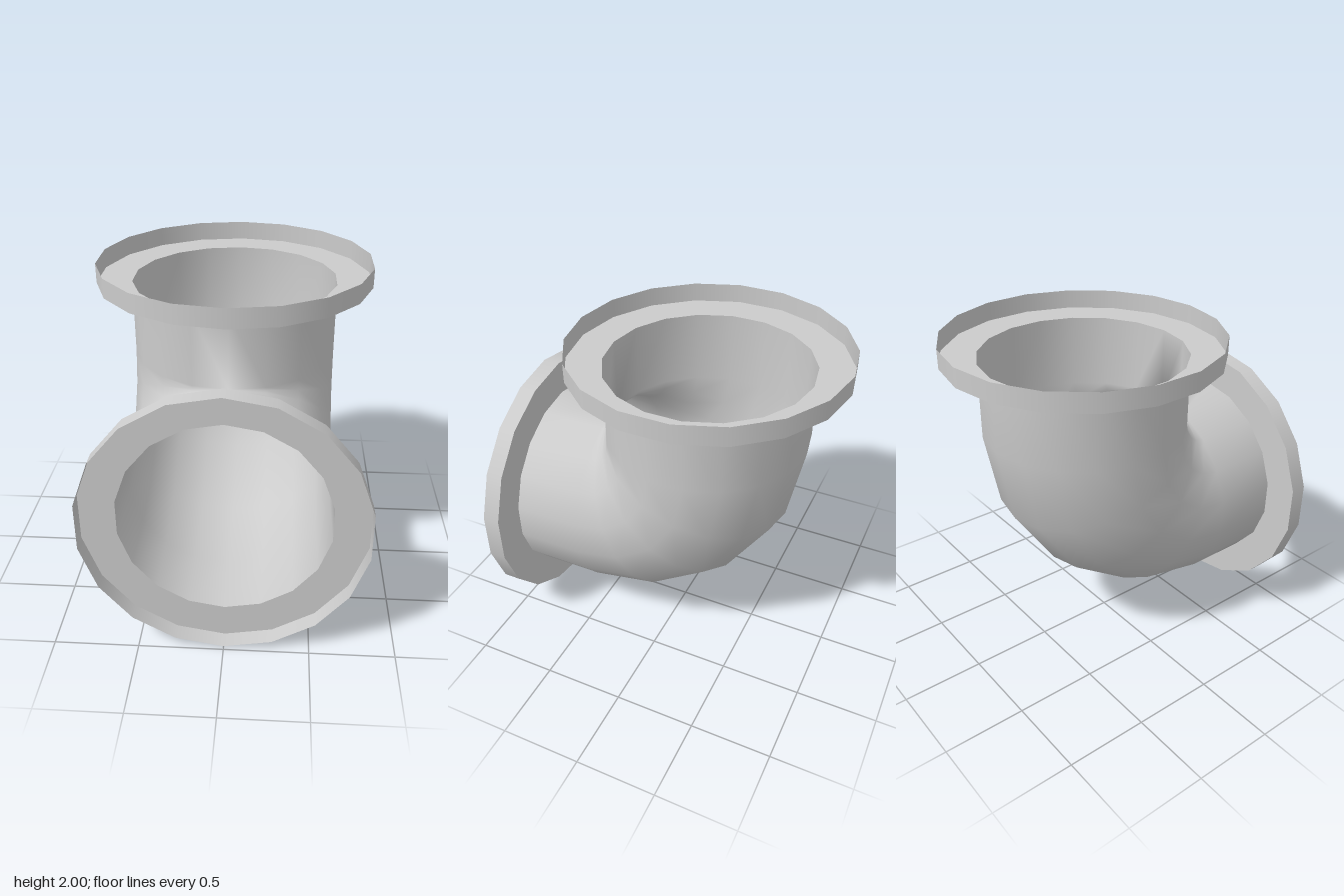
import * as THREE from 'three';
import { mergeVertices } from 'three/addons/utils/BufferGeometryUtils.js';

const SIDES = 18;
const PIPE_R = 0.614;
const FLANGE_R = 0.823;
const BEND = { y: 1.438, z: 0.465 }; // axis of the bend, on the inner corner
const FRONT_Z = 0.87; // where the pipe meets the front flange
const TOP_Y = 1.885; // where the pipe meets the top flange

const material = new THREE.MeshStandardMaterial({ color: 0xcccccc, side: THREE.DoubleSide });

// Thin-walled elbow: straight run, four-step quarter bend, straight run
function elbowGeometry() {
  const stations = [{ t: 0, dz: FRONT_Z - BEND.z, dy: 0 }];
  for (let i = 0; i <= 4; i++) stations.push({ t: (i * Math.PI) / 8, dz: 0, dy: 0 });
  stations.push({ t: Math.PI / 2, dz: 0, dy: TOP_Y - BEND.y });

  const positions = [];
  const indices = [];
  stations.forEach(({ t, dz, dy }, i) => {
    for (let j = 0; j < SIDES; j++) {
      const a = (j / SIDES) * Math.PI * 2;
      const d = PIPE_R * (1 - Math.cos(a)); // distance from the bend axis
      positions.push(
        PIPE_R * Math.sin(a),
        BEND.y - d * Math.cos(t) + dy,
        BEND.z - d * Math.sin(t) + dz
      );
      if (i === stations.length - 1) continue;
      const k = (j + 1) % SIDES;
      const p = i * SIDES + j, q = i * SIDES + k;
      indices.push(p, q, p + SIDES, q, q + SIDES, p + SIDES);
    }
  });
  let geometry = new THREE.BufferGeometry();
  geometry.setAttribute('position', new THREE.Float32BufferAttribute(positions, 3));
  geometry.setIndex(indices);
  geometry = mergeVertices(geometry); // joins the pinched inner corner
  geometry.computeVertexNormals();
  return geometry;
}

// Flange: flat ring at the pipe end with an upstanding open rim, facing +y
function createFlange(name, depth) {
  const flange = new THREE.Group();
  flange.name = name;

  const ringGeometry = new THREE.RingGeometry(PIPE_R, FLANGE_R, SIDES, 1, Math.PI / 2);
  ringGeometry.rotateX(-Math.PI / 2);
  const ring = new THREE.Mesh(ringGeometry, material);
  ring.name = name + 'Ring';

  const rimGeometry = new THREE.CylinderGeometry(FLANGE_R, FLANGE_R, depth, SIDES, 1, true);
  rimGeometry.translate(0, depth / 2, 0);
  const rim = new THREE.Mesh(rimGeometry, material);
  rim.name = name + 'Rim';

  flange.add(ring, rim);
  return flange;
}

export function createModel() {
  const model = new THREE.Group();
  model.name = 'pipeElbow';

  const elbow = new THREE.Mesh(elbowGeometry(), material);
  elbow.name = 'elbowPipe';

  const topFlange = createFlange('topFlange', 2 - TOP_Y);
  topFlange.position.set(0, TOP_Y, BEND.z - PIPE_R);

  const frontFlange = createFlange('frontFlange', 0.104);
  frontFlange.rotation.x = Math.PI / 2;
  frontFlange.position.set(0, BEND.y - PIPE_R, FRONT_Z);

  model.add(elbow, topFlange, frontFlange);
  return model;
}
